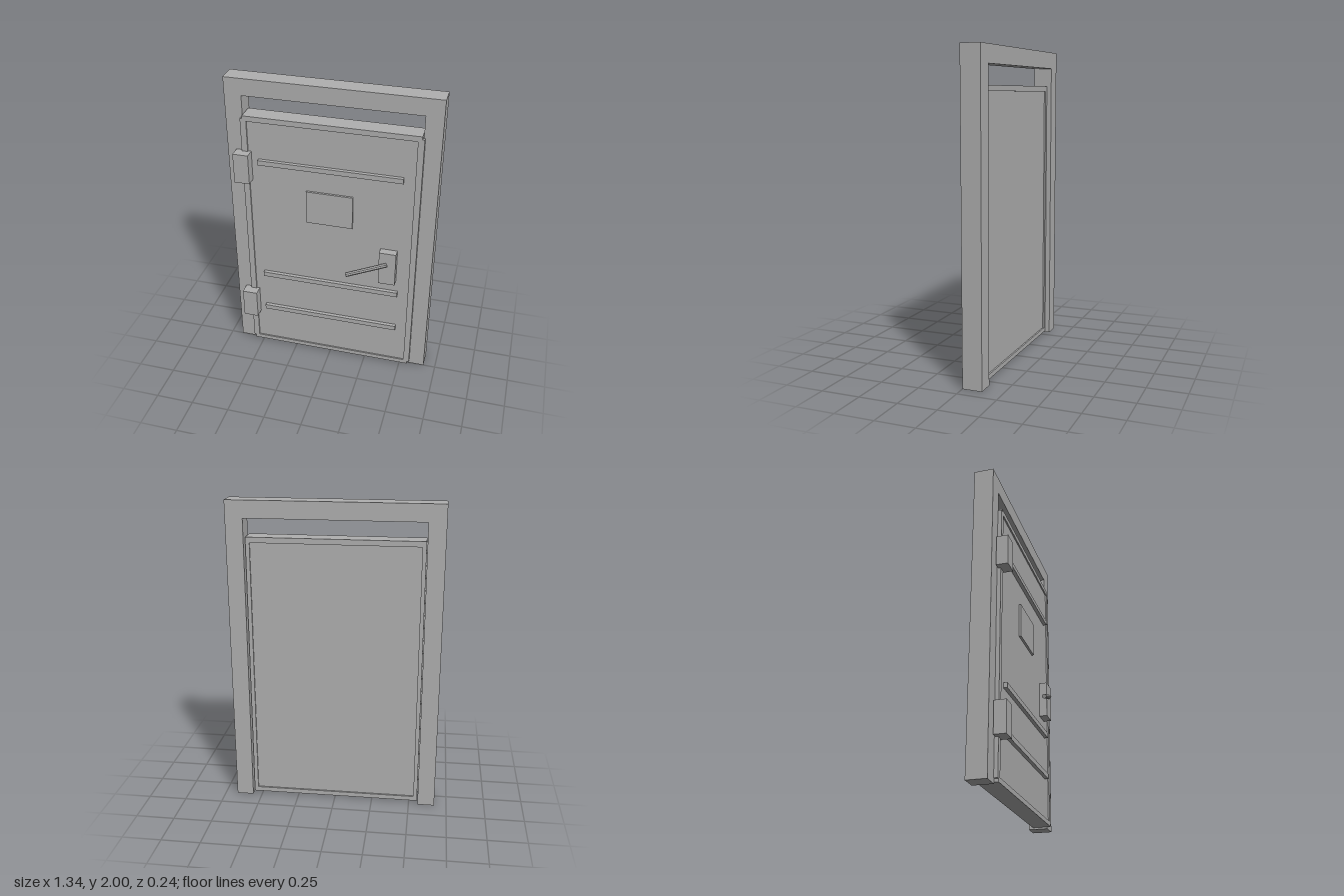
import * as THREE from 'three';

export function createModel() {
  const group = new THREE.Group();
  group.name = 'metalDoor';
  const steel = new THREE.MeshStandardMaterial({ color: 0xb0b0b0 });
  steel.name = 'grey steel';

  const add = (name, geometry) => {
    const mesh = new THREE.Mesh(geometry, steel);
    mesh.name = name;
    group.add(mesh);
    return mesh;
  };
  // Box given by its limits on each axis
  const box = (name, x0, x1, y0, y1, z0, z1) =>
    add(name, new THREE.BoxGeometry(x1 - x0, y1 - y0, z1 - z0))
      .position.set((x0 + x1) / 2, (y0 + y1) / 2, (z0 + z1) / 2);
  const polygon = (Type, points) => new Type(points.map(([x, y]) => new THREE.Vector2(x, y)));
  const extrude = (name, shape, z0, z1) => {
    const geometry = new THREE.ExtrudeGeometry(shape, { depth: z1 - z0, bevelEnabled: false });
    add(name, geometry.translate(0, 0, z0));
  };

  // Door frame, open at the bottom
  extrude('doorFrame', polygon(THREE.Shape, [
    [-0.67, 0], [-0.56, 0], [-0.56, 1.89], [0.56, 1.89],
    [0.56, 0], [0.67, 0], [0.67, 2], [-0.67, 2],
  ]), -0.125, 0);

  // Raised rim of the door leaf around a recessed panel
  const rim = polygon(THREE.Shape, [[-0.555, 0.01], [0.555, 0.01], [0.555, 1.77], [-0.555, 1.77]]);
  rim.holes.push(polygon(THREE.Path, [[-0.53, 0.04], [-0.53, 1.735], [0.53, 1.735], [0.53, 0.04]]));
  extrude('doorRim', rim, -0.095, 0.025);
  box('doorPanel', -0.53, 0.53, 0.04, 1.735, -0.085, 0.016);

  // Side flanges overlapping the frame
  for (const s of [-1, 1]) {
    box('sideFlange', Math.min(s * 0.555, s * 0.569), Math.max(s * 0.555, s * 0.569), 0.03, 1.75, 0.001, 0.025);
  }

  // Stiffening bars
  for (const y of [0.305, 0.59, 1.45]) box('crossBar', -0.465, 0.46, y, y + 0.033, 0.016, 0.04);

  // Hinges
  for (const y of [0.26, 1.33]) box('hinge', -0.61, -0.51, y, y + 0.2, 0.008, 0.083);

  // Sign plate and lock box
  box('signPlate', -0.155, 0.148, 1.07, 1.298, 0.016, 0.03);
  box('lockBox', 0.335, 0.445, 0.705, 0.943, 0.016, 0.067);

  // Slanted lever handle
  const start = new THREE.Vector3(0.388, 0.86, 0.071);
  const end = new THREE.Vector3(0.128, 0.758, 0.104);
  const axis = end.clone().sub(start);
  const handle = add('handle', new THREE.CylinderGeometry(0.015, 0.015, axis.length(), 8).toNonIndexed());
  handle.geometry.computeVertexNormals();
  handle.position.copy(start).add(end).multiplyScalar(0.5);
  handle.quaternion.setFromUnitVectors(new THREE.Vector3(0, 1, 0), axis.normalize());

  return group;
}
